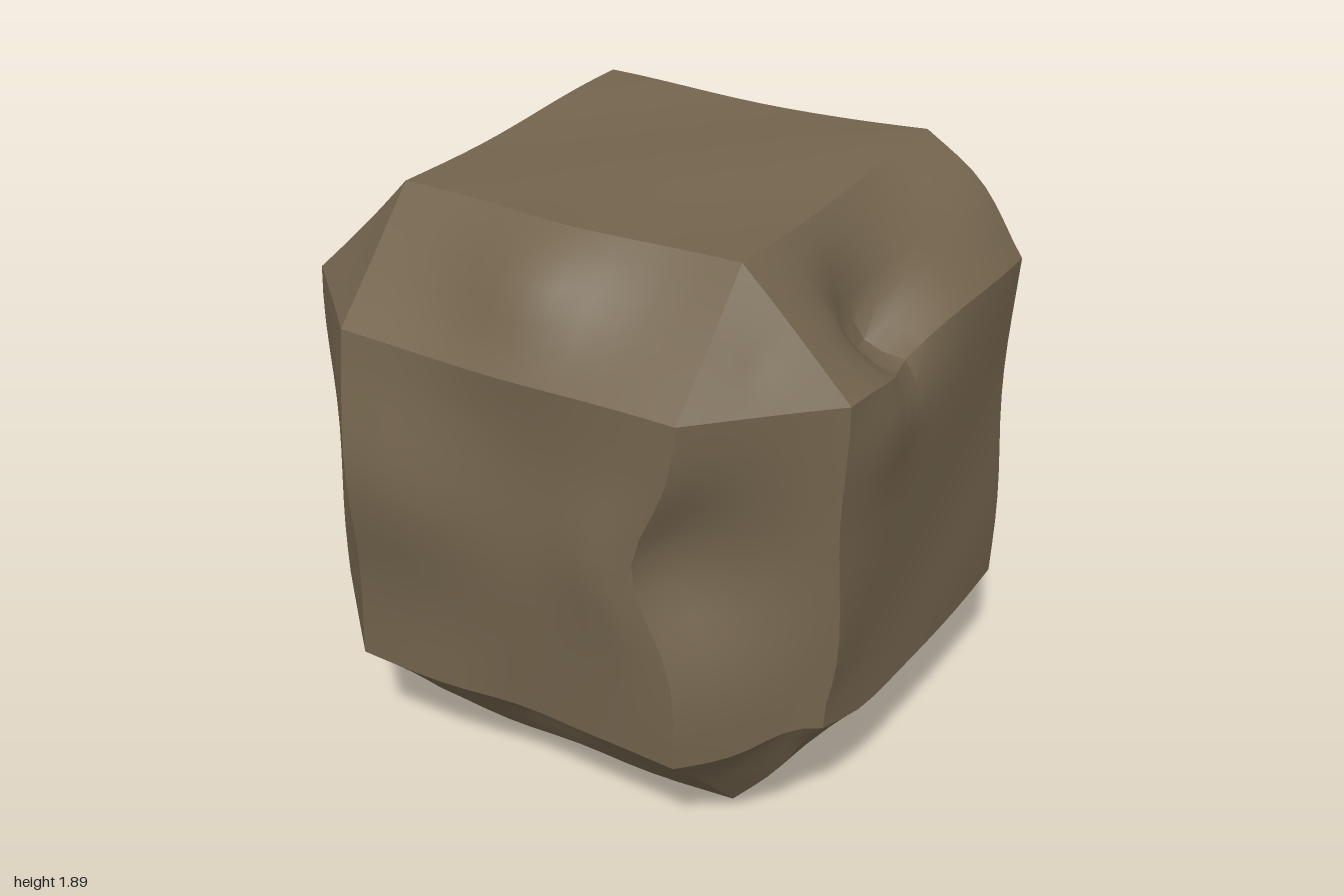
import * as THREE from 'three';
import { toCreasedNormals } from 'three/addons/utils/BufferGeometryUtils.js';

// Local bulges and dents: [centre, push, radius]; centre is relative to the middle of the rock
const LUMPS = [
  // front face: ribs beside a shallow hollow
  [[-0.48, 0.08, 0.93], [0.05, 0, 0.08], 0.32],
  [[0.42, 0.05, 0.93], [0, 0, 0.07], 0.22],
  // bite out of the front left vertical bevel
  [[0.6, 0.07, 0.84], [-0.14, 0, -0.03], 0.24],
  // notch in the left top bevel, rounded off towards the back
  [[0.78, 0.62, 0.13], [-0.12, -0.15, 0], 0.18],
  [[0.88, 0.44, 0.3], [0.06, 0, 0], 0.2],
  [[0.7, 0.74, -0.54], [0.05, 0.04, 0], 0.22],
  // raised edge at the front left corner
  [[0.87, -0.55, 0.62], [-0.02, 0.08, 0.02], 0.18],
  // right side
  [[-0.9, 0.46, 0.1], [-0.04, -0.06, 0], 0.32],
  [[-0.9, -0.3, 0], [-0.045, 0, 0], 0.32],
  // back face
  [[-0.5, 0.4, -0.9], [0, 0, -0.11], 0.24],
  [[-0.45, -0.34, -0.9], [0, 0, -0.1], 0.28],
  [[0.3, 0.2, -0.9], [0, 0, 0.05], 0.4],
  // pinched right back corner at the top, knob below it
  [[-0.78, 0.58, -0.72], [0.05, 0, 0.04], 0.18],
  [[-0.68, -0.72, -0.68], [-0.04, -0.11, -0.01], 0.15],
  // underside
  [[-0.3, -0.9, 0.35], [0, -0.06, 0], 0.28],
  [[0.3, -0.9, 0.3], [0, -0.03, 0], 0.3],
  [[0, -0.7, 0.75], [0, 0.02, -0.05], 0.2],
  // swollen middle of the front top bevel
  [[0, 0.8, 0.68], [0, 0.03, 0.08], 0.22],
];

// Turn a point on a unit cube into a point on a cube with bevelled edges and corners
function bevel(p) {
  const FACE = 0.905, FLAT = 0.565, STEP = 0.17;
  const a = p.map(Math.abs);
  const e = a.map(v => Math.max(0, (v - 0.6) / 0.4));
  const major = a.indexOf(Math.max(...a));
  const [i, j] = [0, 1, 2].filter(k => k !== major);
  const out = [0, 0, 0];
  out[major] = FACE - STEP * (e[i] + e[j]) + 0.11 * e[i] * e[j];
  for (const [k, o] of [[i, j], [j, i]]) {
    out[k] = a[k] < 0.6 ? FLAT * a[k] / 0.6 : FLAT + STEP * e[k] - 0.06 * e[k] * e[o];
  }
  return out.map((v, k) => v * Math.sign(p[k]));
}

export function createModel() {
  const group = new THREE.Group();
  group.name = 'boulder';
  const stone = new THREE.MeshStandardMaterial({ color: 0x73644d });
  stone.name = 'brown stone';

  const geo = new THREE.BoxGeometry(2, 2, 2, 20, 20, 20);
  const pos = geo.attributes.position;
  for (let n = 0; n < pos.count; n++) {
    // snap to the grid so shared edges stay welded
    const cube = [pos.getX(n), pos.getY(n), pos.getZ(n)].map(v => Math.round(v * 10) / 10);
    const [x, y, z] = bevel(cube);
    // gentle unevenness
    const out = [
      x + 0.006 * Math.sin(7 * y + 4 * z),
      y + 0.006 * Math.sin(6 * x + 5 * z + 1),
      z + 0.02 + 0.006 * Math.sin(8 * y + 5 * x + 2),
    ];
    for (const [c, push, r] of LUMPS) {
      const d2 = (x - c[0]) ** 2 + (y - c[1]) ** 2 + (z - c[2]) ** 2;
      const w = Math.exp(-d2 / (r * r));
      for (let k = 0; k < 3; k++) out[k] += push[k] * w;
    }
    pos.setXYZ(n, ...out);
  }

  // centre it and stand it on the ground
  geo.computeBoundingBox();
  const mid = geo.boundingBox.getCenter(new THREE.Vector3());
  geo.translate(-mid.x, -geo.boundingBox.min.y, -mid.z);
  geo.deleteAttribute('normal');
  geo.deleteAttribute('uv');

  const rock = new THREE.Mesh(toCreasedNormals(geo, 0.5), stone);
  rock.name = 'rock';
  group.add(rock);
  return group;
}
